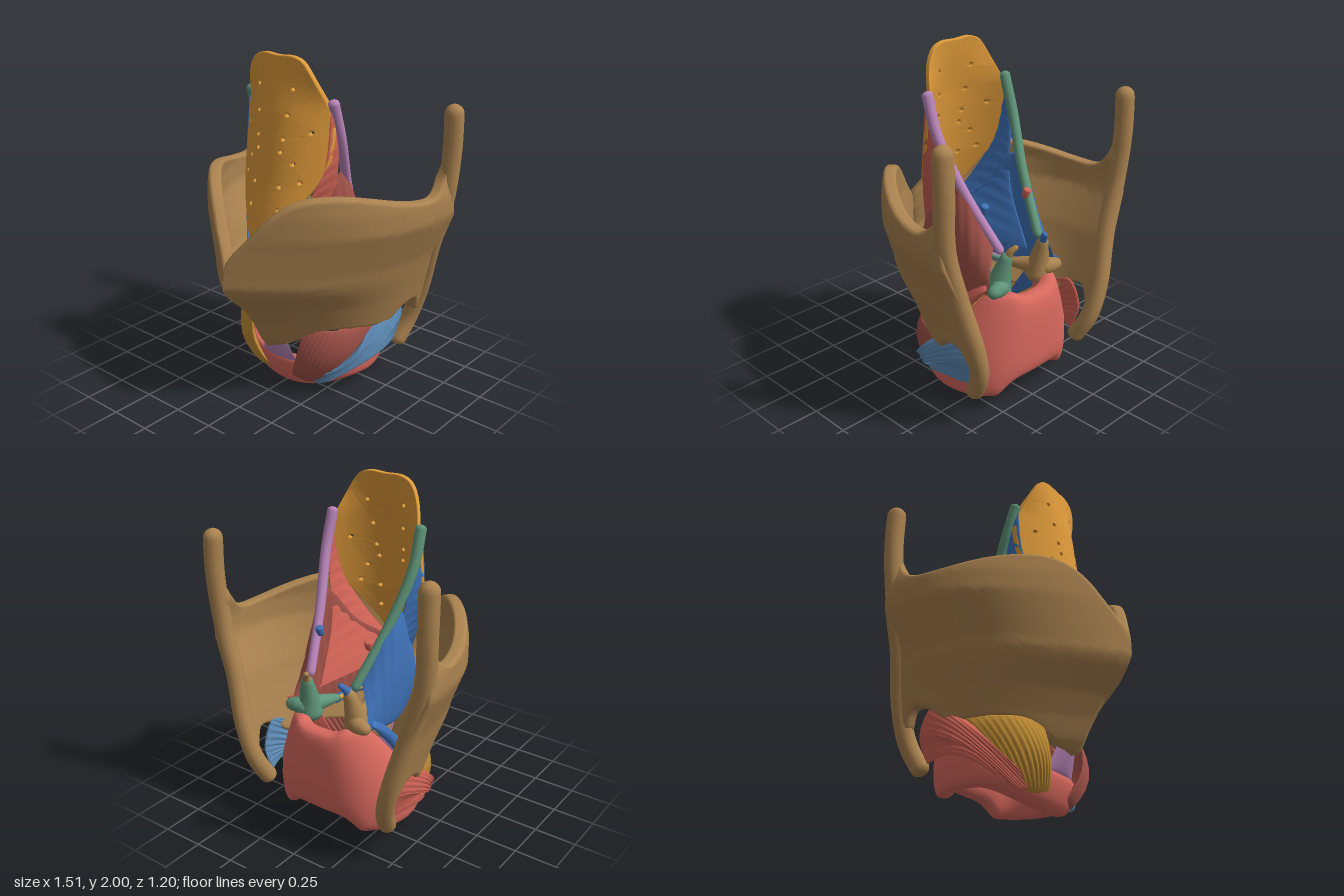
import * as THREE from 'three';
import { mergeVertices } from 'three/addons/utils/BufferGeometryUtils.js';

const TAN = 0xab8350, SALMON = 0xd9695e, ORANGE = 0xdf9a3a, PURPLE = 0xb884b8, GREEN = 0x5f9479,
  BLUE = 0x3f72b8, STEEL = 0x5f8db8, RED = 0xa3534a, ROSE = 0xcf6255, GOLD = 0xbf8b33;

const curve = (pts) => new THREE.CatmullRomCurve3(pts.map((p) => new THREE.Vector3(...p)));
const { smoothstep, mapLinear } = THREE.MathUtils;

// piecewise linear lookup in pairs of [key, value]
function lookup(table, k) {
  let i = 1;
  while (i < table.length - 1 && k > table[i][0]) i++;
  const [k0, v0] = table[i - 1], [k1, v1] = table[i];
  return mapLinear(THREE.MathUtils.clamp(k, k0, k1), k0, k1, v0, v1);
}

// surface of n rings with m points each; every ring is closed
function loft(n, m, fn, ringLoop = false) {
  const pos = [], index = [], rows = ringLoop ? n : n + 1;
  for (let i = 0; i < rows; i++)
    for (let j = 0; j < m; j++) pos.push(...fn(i / n, j / m * Math.PI * 2).toArray());
  for (let i = 0; i < n; i++)
    for (let j = 0; j < m; j++) {
      const a = i * m + j, b = i * m + (j + 1) % m, k = ((i + 1) % rows) * m;
      index.push(a, b, k + j, b, k + (j + 1) % m, k + j);
    }
  const g = new THREE.BufferGeometry();
  g.setAttribute('position', new THREE.Float32BufferAttribute(pos, 3));
  g.setIndex(index);
  g.computeVertexNormals();
  return g;
}

// round bar tapering from r0 to r1, with domed ends
function bar(r0, r1, ...pts) {
  const c = curve(pts), len = c.getLength();
  return loft(48, 14, (u, a) => {
    const t = (1 - Math.cos(u * Math.PI)) / 2, r = r0 + (r1 - r0) * t;
    const end = Math.min(1, Math.min(t, 1 - t) * len / r);
    const rr = r * Math.sqrt(1 - (1 - end) ** 2);
    const d = c.getTangent(t);
    const s = new THREE.Vector3(1, 0, 0).cross(d).normalize(), q = d.clone().cross(s);
    return c.getPoint(t).addScaledVector(s, Math.cos(a) * rr).addScaledVector(q, Math.sin(a) * rr);
  });
}

// fibrous band running from edge A to edge B, bowed away from the axis
function band(thick, bow, A, B) {
  const ca = curve(A), cb = curve(B);
  return loft(64, 20, (u, a) => {
    const f = (1 - Math.cos(a)) / 2, pa = ca.getPoint(u), pb = cb.getPoint(u);
    const n = pb.clone().sub(pa).cross(ca.getTangent(u).lerp(cb.getTangent(u), 0.5)).normalize();
    const p = pa.lerp(pb, f);
    if (n.x * p.x + n.z * (p.z + 0.2) < 0) n.negate();
    const fibre = 1 + 0.14 * Math.sin(u * 75 + 2 * Math.sin(f * 4));
    const t = thick * fibre * Math.sqrt(Math.sin(Math.PI * u) + 1e-6);
    return p.addScaledVector(n, bow * Math.sin(f * Math.PI) + t * Math.sin(a));
  });
}

// extruded outline, split into small triangles and then bent by a rule
function bentPlate(shape, depth, bevel, limit, rule) {
  const src = new THREE.ExtrudeGeometry(shape, {
    depth, bevelThickness: bevel, bevelSize: bevel, bevelOffset: -bevel, bevelSegments: 3, curveSegments: 4,
  }).getAttribute('position');
  const out = [], stack = [];
  for (let i = 0; i < src.count; i += 3)
    stack.push([0, 1, 2].map((k) => new THREE.Vector3().fromBufferAttribute(src, i + k)));
  while (stack.length) {
    let [a, b, c] = stack.pop();
    const bc = b.distanceTo(c), ca = c.distanceTo(a), longest = Math.max(a.distanceTo(b), bc, ca);
    if (longest < limit) {
      for (const p of [a, b, c]) out.push(...rule(p.x, p.y, p.z));
      continue;
    }
    if (longest === bc) [a, b, c] = [b, c, a];
    else if (longest === ca) [a, b, c] = [c, a, b];
    const m = a.clone().add(b).multiplyScalar(0.5);
    stack.push([a, m, c], [m, b, c]);
  }
  const soup = new THREE.BufferGeometry();
  soup.setAttribute('position', new THREE.Float32BufferAttribute(out, 3));
  const g = mergeVertices(soup, 1e-4);
  g.computeVertexNormals();
  return g;
}

const outline = (pts) => new THREE.Shape(new THREE.CatmullRomCurve3(
  pts.map(([a, b]) => new THREE.Vector3(a, b, 0)), true, 'centripetal').getPoints(110).slice(0, -1)
  .map((p) => new THREE.Vector2(p.x, p.y)));

// shield plate: side outline as (z, y), curved round to the front ridge
function shieldHalf() {
  const ridge = [[0.3, 0.25], [0.36, 0.3], [0.47, 0.355], [0.6, 0.44], [0.72, 0.57], [0.78, 0.605]];
  const width = [[0.2, 0.47], [0.6, 0.57], [0.84, 0.635], [1.08, 0.735], [1.2, 0.735], [1.3, 0.71], [1.42, 0.74]];
  const shape = outline([
    [0.29, 0.29], [0.4, 0.47], [0.49, 0.6], [0.63, 0.74], [0.63, 0.84], [0.53, 1.08], [0.45, 1.22], [0.36, 1.29],
    [0.2, 1.305], [-0.2, 1.225], [-0.35, 1.225], [-0.44, 1.3], [-0.49, 1.42], [-0.53, 1.1], [-0.56, 0.55],
    [-0.5, 0.42], [-0.44, 0.52], [-0.33, 0.5], [-0.25, 0.43], [0.08, 0.43], [0.16, 0.38], [0.21, 0.31]]);
  return bentPlate(shape, 0.035, 0.02, 0.05, (z, y, e) => {
    const zf = lookup(ridge, y), w = lookup(width, y), span = zf + 0.52;
    const zz = Math.min(z, zf), t = Math.min(1, (zf - zz) / span);
    const x = w * (1 - (1 - t) ** 2.6), slope = w * 2.6 * (1 - t) ** 1.6 / span;
    const inward = (0.055 - e) / Math.hypot(1, slope);
    return [Math.max(0, x - inward), y, zz - slope * inward];
  });
}

// leaf-shaped flap with small perforations
function leaf() {
  const half = [[0.05, 0.94], [0.12, 1.07], [0.28, 1.36], [0.305, 1.53], [0.29, 1.7], [0.18, 1.96], [0.11, 1.995]];
  const shape = outline([[0, 0.87], ...half, [0, 1.993], ...half.map(([x, y]) => [-x, y]).reverse()]);
  const holes = [[0.12, 1.83], [0.1, 1.69], [0.22, 1.6], [0.09, 1.56], [0.08, 1.49], [0.15, 1.43],
    [0.19, 1.33], [0.09, 1.3], [0.1, 1.17]];
  for (const [x, y] of holes)
    for (const s of [-1, 1])
      shape.holes.push(new THREE.Path().absarc(s * x, y, 0.011, 0, Math.PI * 2, true));
  const mid = [[0.88, 0.35], [1.3, 0.265], [1.7, 0.21], [1.9, 0.17], [2, 0.155]];
  return bentPlate(shape, 0.02, 0.006, 0.06, (x, y, e) =>
    [x, y, lookup(mid, y) - (1.8 - 1.4 * smoothstep(y, 1.7, 2)) * x * x + e - 0.03]);
}

// ring: low arch in front, tall plate behind
function ring() {
  const square = (v, k) => Math.sign(v) * Math.abs(v) ** k;
  return loft(96, 24, (u, a) => {
    const phi = u * Math.PI * 2, q = (1 - Math.cos(phi)) / 2; // q: 0 front, 1 back
    const top = 0.21 + 0.5 * smoothstep(q, 0.2, 0.86) - 0.03 * smoothstep(q, 0.95, 1);
    const bottom = 0.09 * Math.sin(Math.min(1, q / 0.4) * Math.PI / 2) + 0.09 * smoothstep(q, 0.9, 1);
    const f = (1 + square(Math.cos(a), 0.6)) / 2, g = square(Math.sin(a), 0.6); // g: 1 outside, -1 inside
    const y = bottom + (top - bottom) * f;
    const rx = (0.36 + 0.06 * g) * (1 - 0.27 * smoothstep(y, 0.3, 0.75));
    const rz = 0.305 + (0.045 + 0.025 * q) * g;
    const tuck = 0.07 * (1 - q) * (1 - f) ** 2; // underside of the arch leans back
    return new THREE.Vector3(rx * square(Math.sin(phi), 1 - 0.3 * smoothstep(q, 0.4, 0.6)), y,
      -0.18 + rz * Math.cos(phi) - tuck);
  }, true);
}

export function createModel() {
  const root = new THREE.Group();

  function add(name, geo, color) {
    const mesh = new THREE.Mesh(geo, new THREE.MeshStandardMaterial({ color, side: THREE.DoubleSide }));
    mesh.name = name;
    root.add(mesh);
  }
  // a part on +x and its mirror image, with the mirrored faces turned back outward
  function pair(name, left, right, geo) {
    const mirrored = geo.clone().scale(-1, 1, 1), ix = mirrored.index.array;
    for (let i = 0; i < ix.length; i += 3) [ix[i], ix[i + 1]] = [ix[i + 1], ix[i]];
    mirrored.computeVertexNormals();
    add(name + 'Left', geo, left);
    add(name + 'Right', mirrored, right);
  }

  add('cricoidRing', ring(), SALMON);
  add('epiglottis', leaf(), ORANGE);
  add('frontLigament', band(0.012, 0, [[-0.13, 0.19, 0.14], [0, 0.19, 0.16], [0.13, 0.19, 0.14]],
    [[-0.07, 0.4, 0.21], [0, 0.4, 0.24], [0.07, 0.4, 0.21]]), PURPLE);

  // shield with its thick rear border and horns
  pair('shieldPlate', TAN, TAN, shieldHalf());
  pair('shieldHorns', TAN, TAN, bar(0.055, 0.052, [0.7, 1.715, -0.51], [0.7, 1.45, -0.515], [0.68, 1.15, -0.5],
    [0.6, 0.85, -0.51], [0.52, 0.55, -0.545], [0.465, 0.35, -0.525], [0.425, 0.18, -0.44]));

  // arytenoid: body with two processes and a tip
  pair('arytenoidBody', GREEN, TAN, bar(0.09, 0.028, [0.17, 0.64, -0.36], [0.16, 0.78, -0.38], [0.145, 0.94, -0.42]));
  pair('vocalProcess', GREEN, TAN, bar(0.07, 0.02, [0.16, 0.74, -0.38], [0.09, 0.73, -0.19]));
  pair('muscularProcess', GREEN, TAN, bar(0.06, 0.03, [0.15, 0.73, -0.38], [0.22, 0.74, -0.42], [0.29, 0.73, -0.42]));
  pair('arytenoidTip', TAN, BLUE, bar(0.026, 0.014, [0.145, 0.9, -0.41], [0.135, 0.95, -0.435], [0.11, 0.98, -0.46]));

  // folds between the flap and the arytenoids
  pair('foldBar', PURPLE, GREEN, bar(0.032, 0.026, [0.295, 1.775, 0.045], [0.295, 1.55, -0.03], [0.235, 1.25, -0.17], [0.15, 0.92, -0.38]));
  pair('foldNodule', BLUE, ROSE, bar(0.025, 0.02, [0.17, 1.18, -0.27], [0.165, 1.12, -0.25]));
  pair('foldSheet', ROSE, BLUE, band(0.014, 0, [[0.295, 1.74, 0.055], [0.285, 1.4, 0.1], [0.19, 1.13, 0.21], [0.025, 0.84, 0.38]],
    [[0.3, 1.7, 0.03], [0.28, 1.45, -0.03], [0.22, 1.15, -0.09], [0.15, 0.82, -0.3]]));

  // inner muscles and vocal cords
  pair('innerMuscle', RED, BLUE, band(0.025, 0.02, [[0.17, 0.98, -0.34], [0.25, 1.34, -0.11], [0.17, 1.1, 0.1], [0.05, 0.93, 0.33]],
    [[0.27, 0.72, -0.41], [0.26, 0.66, -0.15], [0.17, 0.62, 0.1], [0.05, 0.62, 0.36]]));
  pair('sideMuscle', ROSE, BLUE, band(0.025, 0.02, [[0.3, 0.76, -0.41], [0.22, 0.78, -0.33]],
    [[0.37, 0.5, -0.22], [0.31, 0.3, 0.03]]));
  pair('vocalLigament', ORANGE, GREEN, bar(0.014, 0.012, [0.087, 0.73, -0.2], [0.08, 0.71, 0.08], [0.03, 0.68, 0.36]));
  pair('vocalMuscle', BLUE, PURPLE, bar(0.025, 0.02, [0.12, 0.71, -0.22], [0.11, 0.69, 0.08], [0.05, 0.66, 0.36]));

  // outer muscles between ring and shield
  pair('straightMuscle', RED, GOLD, band(0.03, 0.05, [[0.08, 0.08, 0.13], [0.17, 0.06, 0.1], [0.27, 0.07, 0.04]],
    [[0.2, 0.44, 0.16], [0.35, 0.44, 0.06], [0.46, 0.44, -0.16]]));
  pair('obliqueMuscle', STEEL, ROSE, band(0.035, 0.12, [[0.19, 0.1, 0.12], [0.25, 0.06, 0.07], [0.33, 0.1, 0]],
    [[0.44, 0.44, -0.16], [0.46, 0.54, -0.37], [0.45, 0.4, -0.46], [0.43, 0.23, -0.42]]));
  return root;
}
